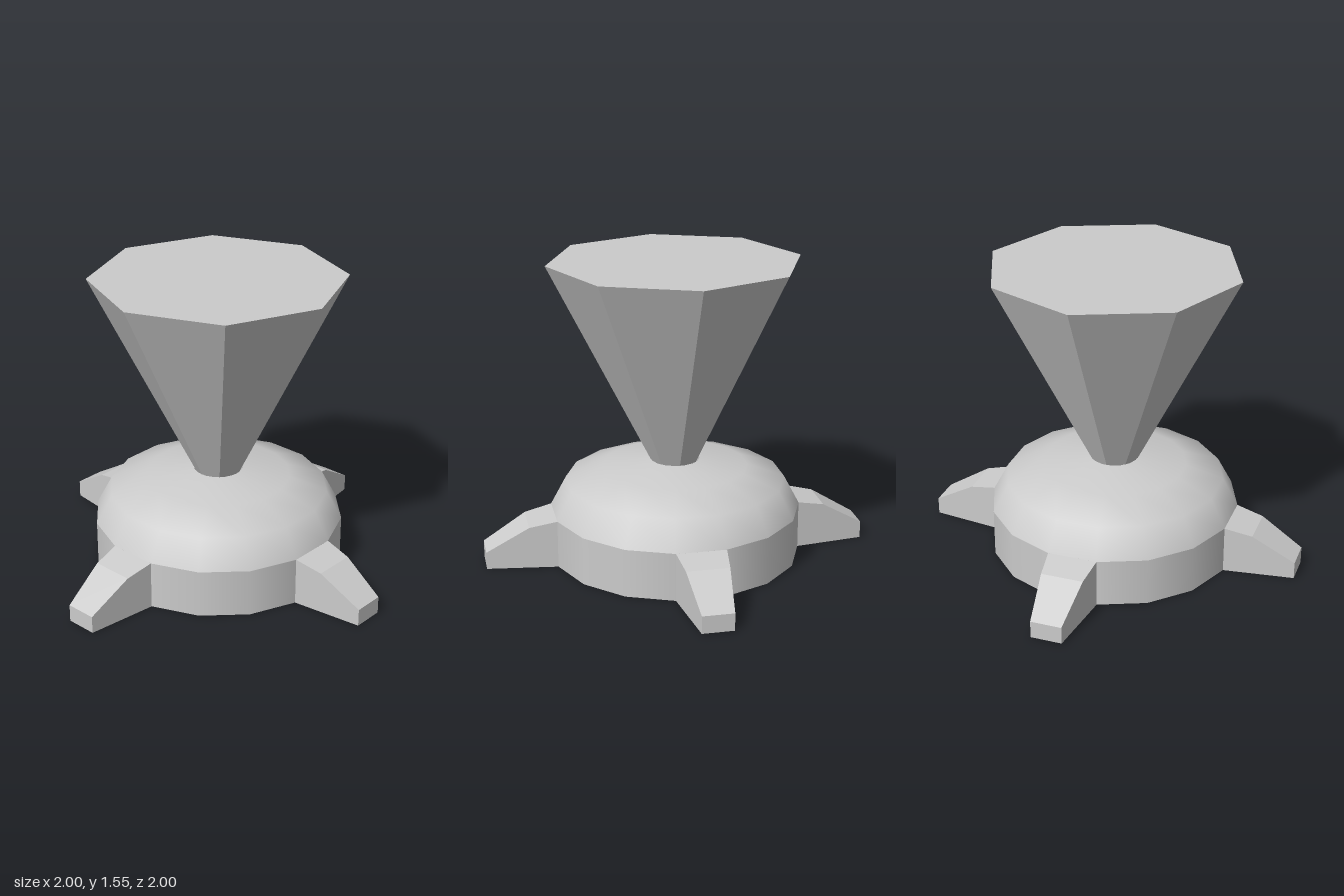
import * as THREE from 'three';

export function createModel() {
  const model = new THREE.Group();
  const smooth = new THREE.MeshStandardMaterial({ color: 0xcccccc });
  const flat = new THREE.MeshStandardMaterial({ color: 0xcccccc, flatShading: true });
  const sides = 16, turn = Math.PI / sides; // flats face the four legs

  const add = (name, geometry, material) => {
    const mesh = new THREE.Mesh(geometry, material);
    mesh.name = name;
    model.add(mesh);
    return mesh;
  };
  const lathe = (points) => new THREE.LatheGeometry(
    points.map(([r, y]) => new THREE.Vector2(r, y)), sides, turn);

  // Drum-shaped base
  add('base', new THREE.CylinderGeometry(0.65, 0.65, 0.25, sides, 1, false, turn), smooth)
    .position.y = 0.125;

  // Rounded dome with a socket in its top
  add('dome', lathe([[0.65, 0.25], [0.57, 0.4], [0.375, 0.47], [0.127, 0.505]]), smooth);
  add('socket', lathe([[0.127, 0.505], [0.127, 0.25]]), smooth);

  // Eight-sided inverted cone standing in the socket
  add('cone', new THREE.CylinderGeometry(0.65, 0, 1.3, 8), flat).position.y = 0.9;

  // Four legs: side profile extruded, then narrowed towards the foot
  const profile = new THREE.Shape(
    [[0.637, 0], [1, 0], [1, 0.09], [0.78, 0.22], [0.637, 0.25]].map(([x, y]) => new THREE.Vector2(x, y)));
  const leg = new THREE.ExtrudeGeometry(profile, { depth: 2, bevelEnabled: false });
  leg.translate(0, 0, -1);
  const p = leg.attributes.position;
  for (let i = 0; i < p.count; i++) {
    p.setZ(i, p.getZ(i) * THREE.MathUtils.mapLinear(p.getX(i), 0.637, 1, 0.127, 0.08));
  }
  leg.computeVertexNormals();
  ['leftLeg', 'backLeg', 'rightLeg', 'frontLeg'].forEach((name, i) => {
    add(name, leg, flat).rotation.y = i * Math.PI / 2;
  });

  return model;
}
